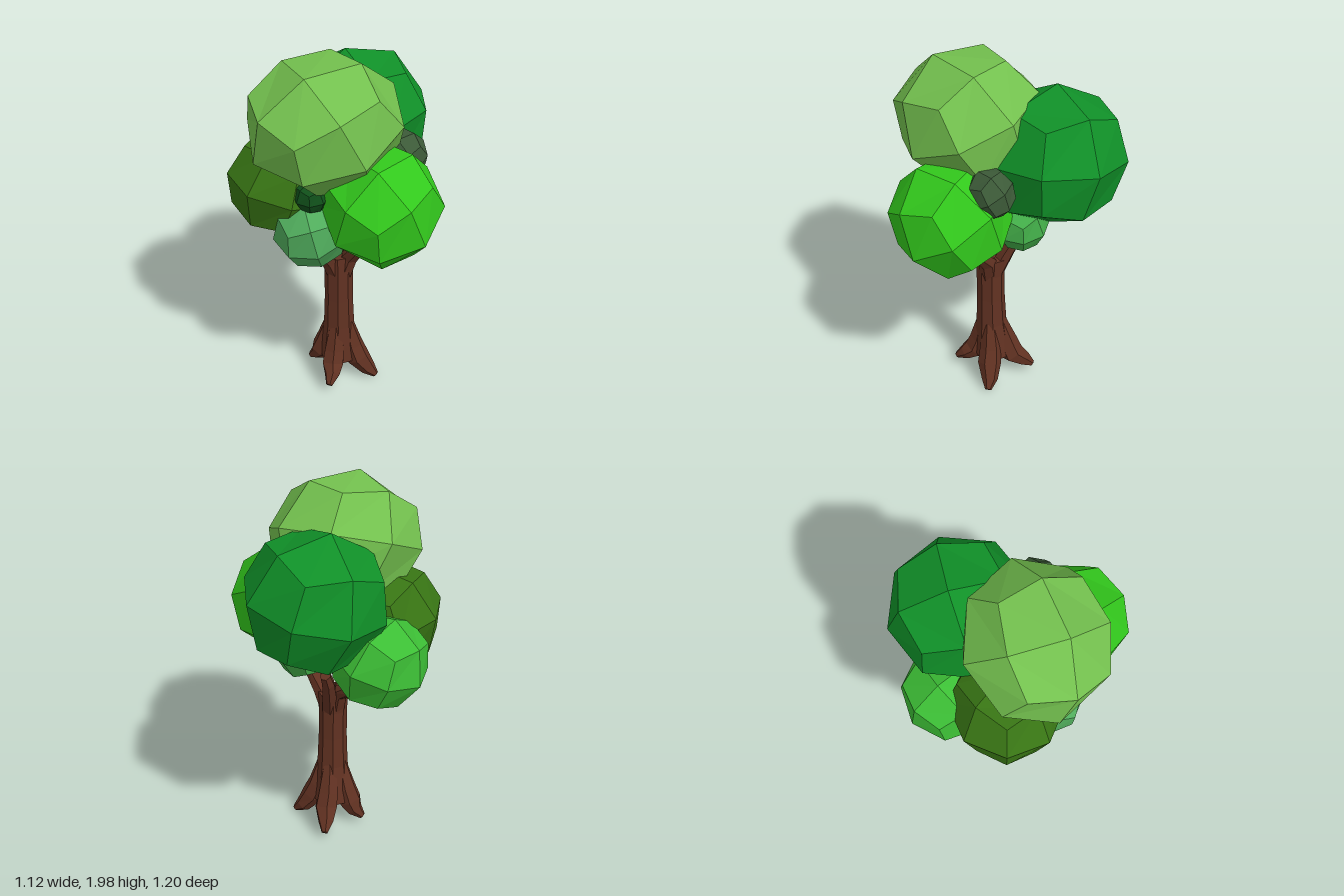
import * as THREE from 'three';

const bark = new THREE.MeshStandardMaterial({ color: 0x623222, flatShading: true });

// Tapered faceted limb: points are [x, y, z, radius], closed at both ends
function limb(name, points, sides) {
  const pts = points.map(p => new THREE.Vector3(p[0], p[1], p[2]));
  const pos = [], idx = [];
  const n = pts.length;
  pts.forEach((p, k) => {
    const t = pts[Math.min(k + 1, n - 1)].clone().sub(pts[Math.max(k - 1, 0)]).normalize();
    const u = new THREE.Vector3(-0.5, 0, 1);
    u.addScaledVector(t, -u.dot(t)).normalize();
    const v = t.clone().cross(u);
    for (let i = 0; i < sides; i++) {
      const a = (i / sides) * Math.PI * 2;
      const q = p.clone()
        .addScaledVector(u, Math.cos(a) * points[k][3])
        .addScaledVector(v, Math.sin(a) * points[k][3]);
      pos.push(q.x, q.y, q.z);
    }
  });
  for (let k = 0; k < n - 1; k++) {
    for (let i = 0; i < sides; i++) {
      const a = k * sides + i, b = k * sides + (i + 1) % sides;
      idx.push(a, b, b + sides, a, b + sides, a + sides);
    }
  }
  const c0 = n * sides, c1 = c0 + 1, last = (n - 1) * sides;
  pos.push(...pts[0].toArray(), ...pts[n - 1].toArray());
  for (let i = 0; i < sides; i++) {
    const j = (i + 1) % sides;
    idx.push(c0, j, i, c1, last + i, last + j);
  }
  const g = new THREE.BufferGeometry();
  g.setAttribute('position', new THREE.Float32BufferAttribute(pos, 3));
  g.setIndex(idx);
  g.computeVertexNormals();
  const mesh = new THREE.Mesh(g, bark);
  mesh.name = name;
  return mesh;
}

// Leaf ball: a 2x2x2 box puffed out to a faceted sphere
function leafGeometry() {
  const g = new THREE.BoxGeometry(2, 2, 2, 2, 2, 2);
  const p = g.attributes.position, v = new THREE.Vector3();
  for (let i = 0; i < p.count; i++) {
    v.fromBufferAttribute(p, i).normalize();
    p.setXYZ(i, v.x, v.y, v.z);
  }
  g.computeVertexNormals();
  return g;
}

export function createModel() {
  const tree = new THREE.Group();
  tree.name = 'tree';

  // Trunk
  tree.add(limb('trunk', [
    [-0.015, 0.14, 0, 0.112], [-0.02, 0.24, 0.005, 0.1], [-0.022, 0.37, 0.01, 0.084],
    [-0.024, 0.55, 0.012, 0.077], [-0.025, 0.72, 0.012, 0.077], [-0.022, 0.83, 0.005, 0.083],
  ], 8));

  // Four roots spreading along the diagonals
  const roots = [[0.15, 0.018, 0.14], [-0.15, 0.062, 0.165], [0.125, 0.045, -0.175], [-0.135, 0.045, -0.14]];
  for (const [x, y, z] of roots) {
    const sx = Math.sign(x), sz = Math.sign(z);
    tree.add(limb('root', [
      [-0.02 + sx * 0.03, 0.38, 0.01 + sz * 0.03, 0.038],
      [-0.015 + sx * 0.055, 0.22, sz * 0.055, 0.06],
      [-0.012 + sx * 0.077, 0.135, sz * 0.077, 0.066],
      [x * 0.77, y + 0.038, z * 0.77, 0.045],
      [x, y, z, 0.018],
    ], 6));
  }

  // Branches reaching into the leaf balls
  const branches = [
    [[-0.01, 0.7, 0.03, 0.048], [0.02, 0.83, 0.06, 0.048], [0.045, 0.93, 0.14, 0.038], [0.08, 1.02, 0.28, 0.03]],
    [[-0.04, 0.7, 0.02, 0.05], [-0.085, 0.81, 0.03, 0.046], [-0.15, 0.9, 0.06, 0.036], [-0.24, 1.02, 0.1, 0.028]],
    [[-0.03, 0.72, -0.01, 0.05], [-0.03, 0.85, -0.06, 0.045], [-0.05, 0.92, -0.17, 0.036], [-0.1, 0.98, -0.33, 0.028]],
    [[0.0, 0.72, 0.0, 0.048], [0.03, 0.85, -0.05, 0.042], [0.055, 0.94, -0.085, 0.036], [0.08, 1.0, -0.1, 0.03]],
    [[-0.045, 0.89, -0.1, 0.03], [-0.05, 0.97, -0.15, 0.028], [-0.04, 1.1, -0.2, 0.022]],
  ];
  for (const b of branches) tree.add(limb('branch', b, 6));

  // Leaf balls: name, colour, centre, radii, rotation
  const balls = [
    ['topLeaves', 0x73c04e, [-0.125, 1.665, 0.072], [0.412, 0.352, 0.38], [0.27, 0.15, 0.37]],
    ['darkLeaves', 0x109028, [0.2, 1.515, -0.222], [0.37, 0.366, 0.37], [-0.14, 0, 0.17]],
    ['frontLeaves', 0x32c81c, [0.08, 1.275, 0.312], [0.312, 0.322, 0.312], [0.35, 0.35, 0.3]],
    ['backLeaves', 0x3cbe35, [-0.09, 1.18, -0.365], [0.255, 0.252, 0.252], [-0.3, 0.4, 0.2]],
    ['oliveLeaves', 0x387514, [-0.265, 1.28, -0.11], [0.31, 0.29, 0.295], [0.2, 0.5, -0.25]],
    ['innerLeaves', 0x3c4a18, [-0.09, 1.1, -0.035], [0.18, 0.185, 0.18], [0.2, 0.2, 0.3]],
    ['lowerLeaves', 0x50ac5c, [-0.22, 1.1, 0.115], [0.203, 0.205, 0.2], [0.3, -0.2, 0.3]],
    ['sideLeaves', 0x42ac48, [0.18, 1.155, -0.042], [0.148, 0.15, 0.152], [0.2, 0.3, -0.2]],
    ['greyLeaves', 0x3c5a38, [0.25, 1.46, 0.185], [0.132, 0.138, 0.122], [0.3, 0.2, 0.4]],
    ['shadeLeaves', 0x10501a, [-0.235, 1.33, 0.16], [0.095, 0.09, 0.095], [0.1, 0.3, 0.1]],
  ];
  const geometry = leafGeometry();
  for (const [name, color, centre, radii, rotation] of balls) {
    const g = geometry.clone();
    g.applyMatrix4(new THREE.Matrix4().makeRotationFromEuler(new THREE.Euler(...rotation)));
    g.scale(...radii);
    const ball = new THREE.Mesh(g, new THREE.MeshStandardMaterial({ color, flatShading: true }));
    ball.name = name;
    ball.position.set(...centre);
    tree.add(ball);
  }
  return tree;
}
